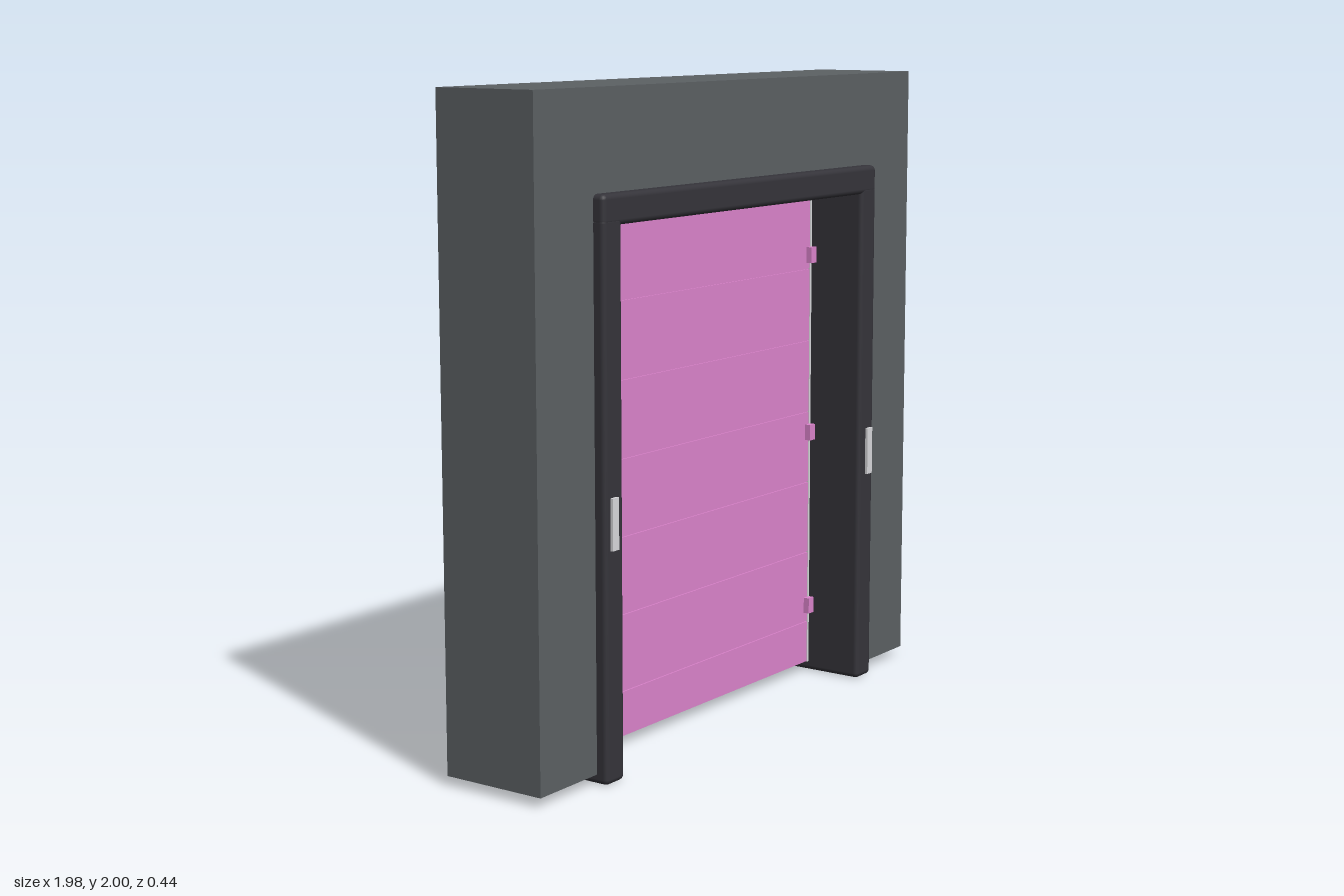
import * as THREE from 'three';
import { RoundedBoxGeometry } from 'three/addons/geometries/RoundedBoxGeometry.js';

const material = (name, color) => {
  const m = new THREE.MeshStandardMaterial({ color });
  m.name = name;
  return m;
};

export function createModel() {
  const group = new THREE.Group();
  const wallGrey = material('wall grey', 0x5c6164);
  const frameBlack = material('frame black', 0x35343a);
  const doorPink = material('door pink', 0xdc84cc);
  const plateGrey = material('plate light grey', 0xd9d9dc);

  const add = (name, geometry, mat, x = 0, y = 0, z = 0) => {
    const mesh = new THREE.Mesh(geometry, mat);
    mesh.name = name;
    mesh.position.set(x, y, z);
    group.add(mesh);
    return mesh;
  };
  const box = (name, mat, w, h, d, x, y, z = 0) =>
    add(name, new THREE.BoxGeometry(w, h, d), mat, x, y, z);

  // Wall: an arch-shaped slab open at the bottom
  const outline = [[-0.988, 0.03], [-0.988, 2], [0.988, 2], [0.988, 0.03],
    [0.68, 0.03], [0.68, 1.66], [-0.68, 1.66], [-0.68, 0.03]];
  const wallShape = new THREE.Shape(outline.map(([x, y]) => new THREE.Vector2(x, y)));
  const wallGeometry = new THREE.ExtrudeGeometry(wallShape, { depth: 0.344, bevelEnabled: false });
  add('wall', wallGeometry, wallGrey, 0, 0, -0.172);

  // Frame: two posts and a lintel, with softened edges
  const frameDepth = 0.418;
  add('lintel', new RoundedBoxGeometry(1.458, 0.09, frameDepth, 2, 0.016), frameBlack, 0, 1.66);

  for (const side of [-1, 1]) {
    add('post', new RoundedBoxGeometry(0.087, 1.64, frameDepth, 2, 0.016), frameBlack,
      side * 0.6855, 0.82);

    // Light guide strip between post and door
    box('guideStrip', plateGrey, 0.01, 1.585, 0.034, side * 0.638, 0.8225);

    // Clips gripping the door edge
    for (const y of [0.23, 0.82, 1.41]) {
      box('clip', doorPink, 0.03, 0.052, 0.07, side * 0.628, y);
    }

    // Control plates on both faces of each post
    for (const face of [-1, 1]) {
      box('controlPlate', plateGrey, 0.029, 0.153, 0.012, side * 0.692, 0.768, face * 0.212);
    }
  }

  // Door: horizontal panels over a thinner core, leaving fine grooves
  const seams = [0.03, 0.172, 0.411, 0.65, 0.888, 1.126, 1.364, 1.602, 1.62];
  const gap = 0.004;
  for (let i = 0; i < seams.length - 1; i++) {
    const height = seams[i + 1] - seams[i] - gap;
    box('doorPanel', doorPink, 1.268, height, 0.03, 0, (seams[i] + seams[i + 1]) / 2);
  }
  box('doorCore', doorPink, 1.268, 1.586, 0.02, 0, 0.825);

  return group;
}
